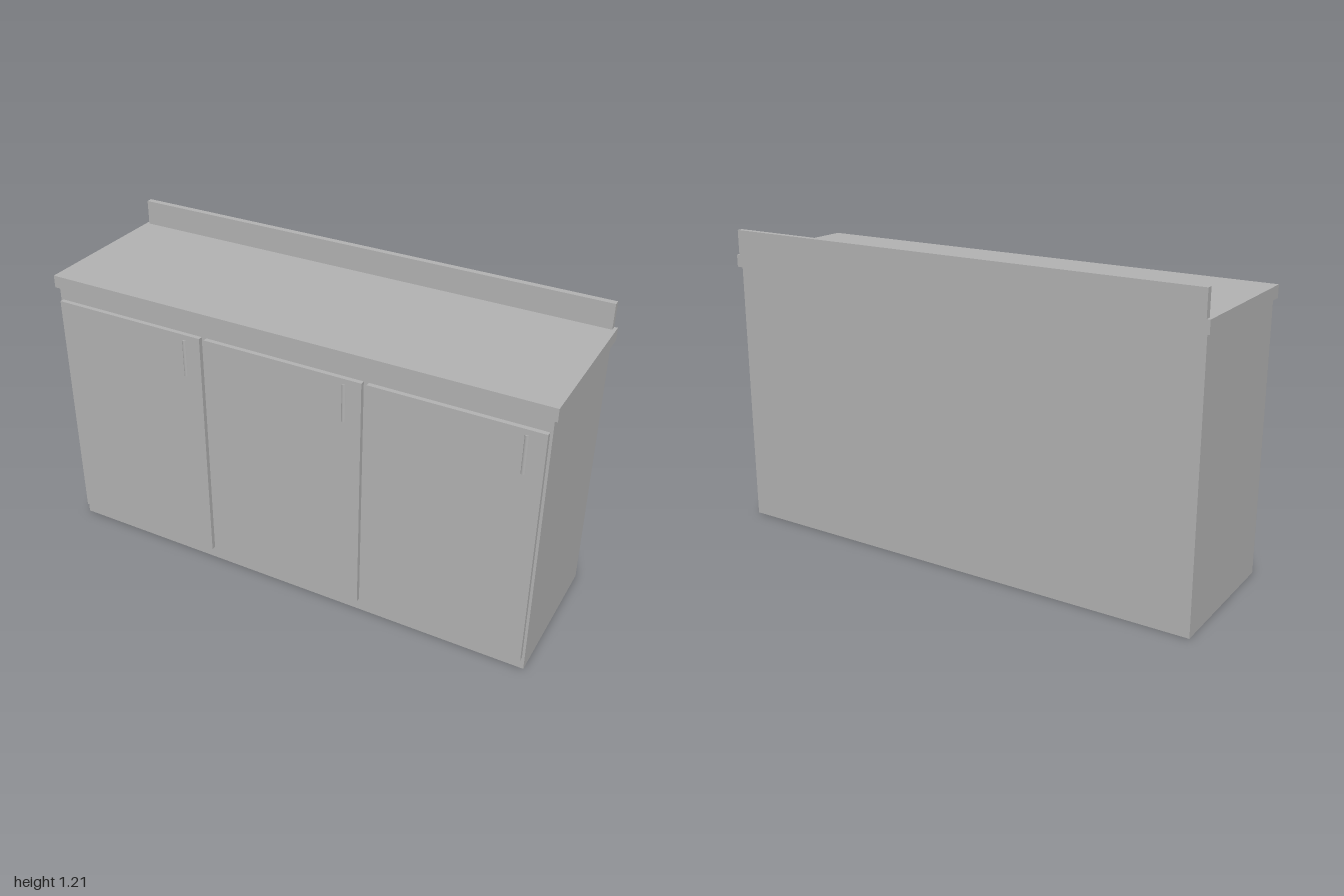
import * as THREE from 'three';

export function createModel() {
  const group = new THREE.Group();
  const grey = new THREE.MeshStandardMaterial({ color: 0xb2b2b2 });
  grey.name = 'grey';

  const add = (name, geometry, x, y, z, parent = group) => {
    const mesh = new THREE.Mesh(geometry, grey);
    mesh.name = name;
    mesh.position.set(x, y, z);
    parent.add(mesh);
    return mesh;
  };

  // Box given by its limits on each axis
  const slab = (name, [x0, x1], [y0, y1], [z0, z1], parent) =>
    add(name, new THREE.BoxGeometry(x1 - x0, y1 - y0, z1 - z0),
      (x0 + x1) / 2, (y0 + y1) / 2, (z0 + z1) / 2, parent);

  // Cabinet body, worktop and the upstand along its back edge
  slab('cabinetBody', [-0.987, 0.987], [0, 1.062], [-0.299, 0.293]);
  slab('worktop', [-1, 1], [1.062, 1.111], [-0.312, 0.304]);
  slab('backsplash', [-0.987, 0.987], [1.111, 1.21], [-0.312, -0.288]);

  // Three doors, each with a slim round handle half sunk in its face
  const handleGeometry = new THREE.CylinderGeometry(0.01, 0.01, 0.15, 16);
  for (const x of [-0.658, 0, 0.658]) {
    const door = new THREE.Group();
    door.name = 'door';
    door.position.x = x;
    group.add(door);
    slab('doorPanel', [-0.319, 0.319], [0.051, 1.012], [0.293, 0.311], door);
    add('handle', handleGeometry, 0.251, 0.915, 0.305, door);
  }
  return group;
}
